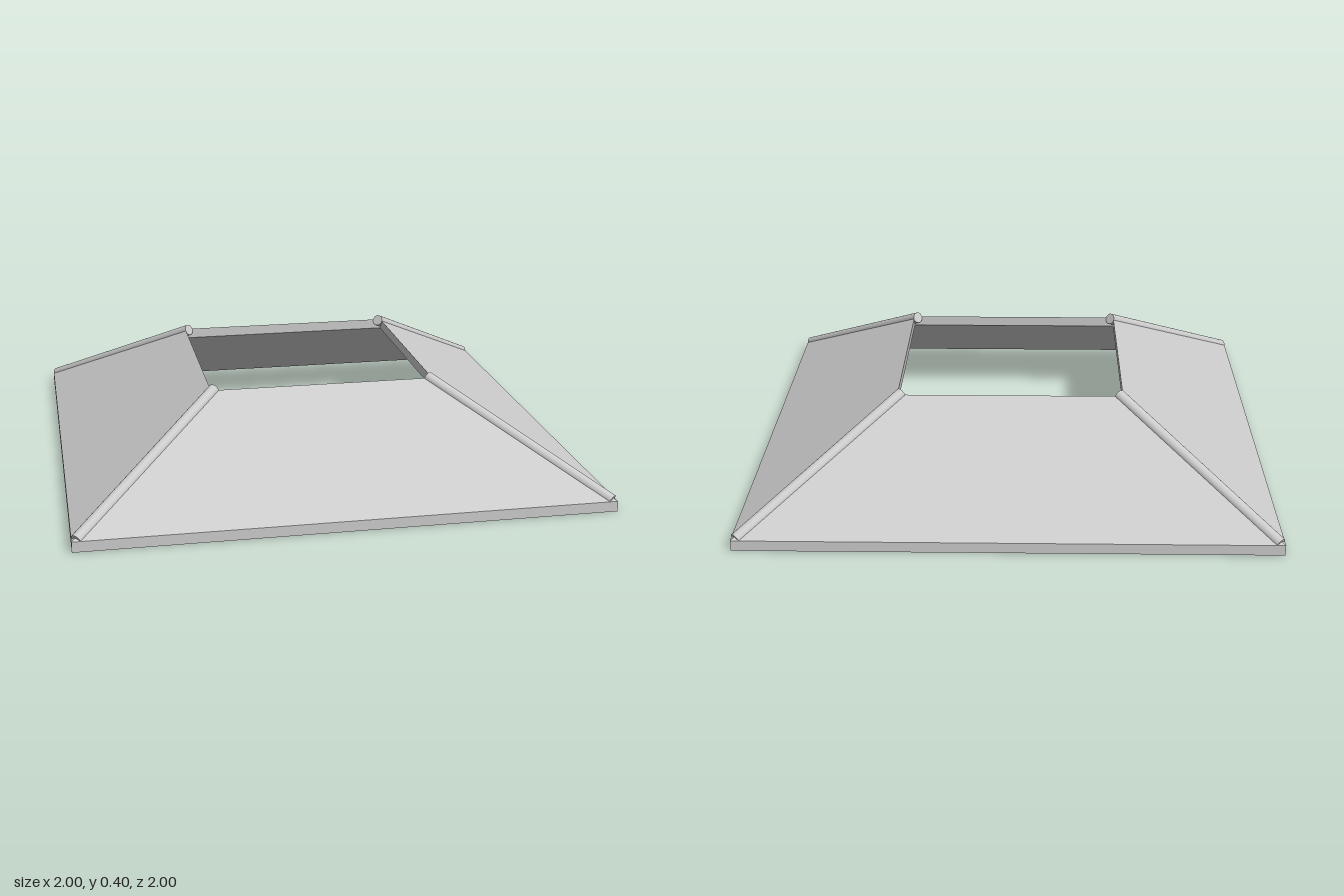
import * as THREE from 'three';

const OUTER = 1, INNER = 0.435;   // half widths of eave and opening
const RISE = 0.335, THICK = 0.04;

// One sloping panel: a box sheared into a mitred trapezoid slab
function panelGeometry() {
  const geo = new THREE.BoxGeometry(2, 2, 2);
  const p = geo.attributes.position;
  for (let i = 0; i < p.count; i++) {
    const outer = p.getZ(i) > 0;
    const half = outer ? OUTER : INNER;
    const y = (outer ? 0 : RISE) + (p.getY(i) > 0 ? THICK : 0);
    p.setXYZ(i, Math.sign(p.getX(i)) * half, y, half);
  }
  geo.computeVertexNormals();
  return geo;
}

// Round bar between two points
function barGeometry(a, b, radius) {
  const dir = b.clone().sub(a);
  const geo = new THREE.CylinderGeometry(radius, radius, dir.length(), 20);
  geo.applyQuaternion(new THREE.Quaternion().setFromUnitVectors(
    new THREE.Vector3(0, 1, 0), dir.clone().normalize()));
  const mid = a.clone().add(b).multiplyScalar(0.5);
  return geo.translate(mid.x, mid.y, mid.z);
}

export function createModel() {
  const group = new THREE.Group();
  group.name = 'roofSkirt';
  const material = new THREE.MeshStandardMaterial({ color: 0xcccccc });

  const panel = panelGeometry();
  const ridge = barGeometry(
    new THREE.Vector3(0.983, 0.038, 0.983),
    new THREE.Vector3(0.42, 0.375, 0.42), 0.0225);

  // Four panels, with a ridge cap along each hip
  ['front', 'left', 'back', 'right'].forEach((side, i) => {
    const slope = new THREE.Mesh(panel, material);
    slope.name = side + 'RoofPanel';
    const cap = new THREE.Mesh(ridge, material);
    cap.name = side + 'RidgeCap';
    slope.rotation.y = cap.rotation.y = i * Math.PI / 2;
    group.add(slope, cap);
  });
  return group;
}
